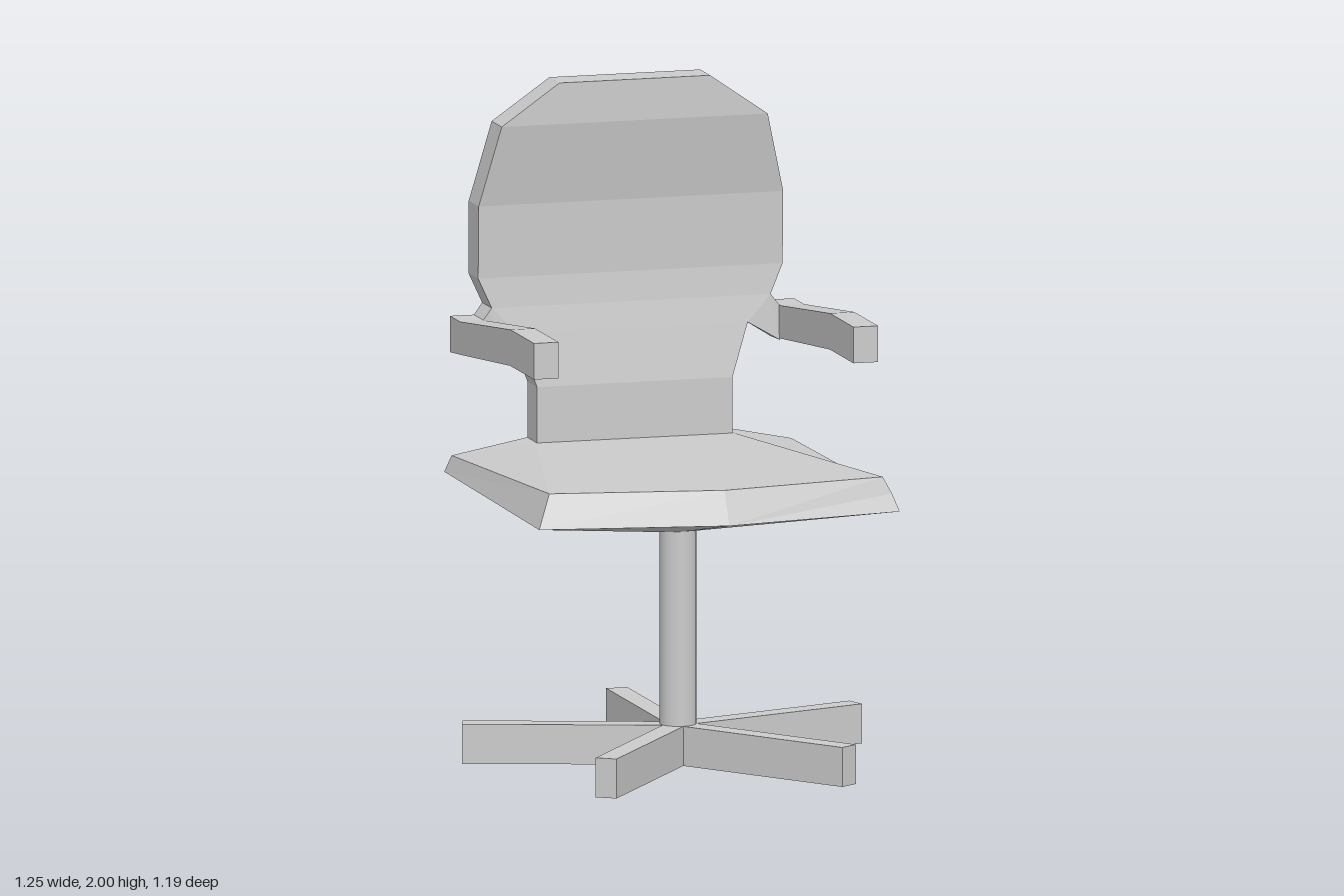
import * as THREE from 'three';

const flat = new THREE.MeshStandardMaterial({ color: 0xcccccc, flatShading: true });
const smooth = new THREE.MeshStandardMaterial({ color: 0xcccccc });

// Faceted solid from corner points and outward counter-clockwise polygons
function solid(name, points, polygons) {
  const pos = [];
  for (const p of polygons)
    for (let i = 1; i < p.length - 1; i++)
      pos.push(...points[p[0]], ...points[p[i]], ...points[p[i + 1]]);
  const geo = new THREE.BufferGeometry();
  geo.setAttribute('position', new THREE.Float32BufferAttribute(pos, 3));
  geo.computeVertexNormals();
  const mesh = new THREE.Mesh(geo, flat);
  mesh.name = name;
  return mesh;
}

// Closed bar through four-cornered cross-sections
function loft(name, rings) {
  const last = 4 * (rings.length - 1);
  const polygons = [[3, 2, 1, 0], [last, last + 1, last + 2, last + 3]];
  for (let i = 0; i < last; i += 4)
    for (let j = 0; j < 4; j++) {
      const k = (j + 1) % 4;
      polygons.push([i + j, i + k, i + 4 + k, i + 4 + j]);
    }
  return solid(name, rings.flat(), polygons);
}

function createSeat() {
  const points = [
    // lower rim
    [-0.565, 0.81, 0.5], [0, 0.81, 0.595], [0.56, 0.81, 0.5], [0.55, 0.81, -0.55], [-0.55, 0.81, -0.55],
    // front edge of the top
    [-0.52, 0.91, 0.455], [0, 0.91, 0.545], [0.52, 0.91, 0.455],
    // lowered corners
    [0.545, 0.86, 0.47], [0.53, 0.86, -0.54], [-0.53, 0.86, -0.54],
    // foot of the backrest
    [0.31, 0.91, -0.4], [0.31, 0.91, -0.5], [-0.31, 0.91, -0.5], [-0.31, 0.91, -0.4],
    // underside tip
    [0, 0.70, 0.055],
  ];
  return solid('seat', points, [
    [0, 1, 6, 5], [1, 2, 8, 7, 6], [2, 3, 9, 8], [3, 4, 10, 13, 12, 9], [4, 0, 5, 10],
    [14, 5, 6, 7, 11], [7, 8, 11], [8, 9, 11], [9, 12, 11], [11, 12, 13, 14], [14, 13, 10], [14, 10, 5],
    [1, 0, 15], [2, 1, 15], [3, 2, 15], [4, 3, 15], [0, 4, 15],
  ]);
}

function createBackrest() {
  // height, half width, front z, back z
  const rows = [
    [0.9, 0.305, -0.4, -0.5], [1.08, 0.305, -0.4, -0.5], [1.24, 0.36, -0.425, -0.525],
    [1.32, 0.435, -0.438, -0.54], [1.41, 0.475, -0.446, -0.548], [1.63, 0.475, -0.44, -0.545],
    [1.875, 0.415, -0.4, -0.507], [2, 0.235, -0.4, -0.505],
  ];
  return loft('backrest', rows.map(([y, w, f, b]) => [[-w, y, f], [w, y, f], [w, y, b], [-w, y, b]]));
}

function createArm(name) {
  const arm = new THREE.Group();
  arm.name = name;
  // z, bottom, top
  const rows = [[-0.535, 1.175, 1.285], [-0.43, 1.185, 1.285], [0.1, 1.24, 1.35], [0.35, 1.24, 1.35]];
  arm.add(loft('armrest', rows.map(([z, b, t]) => [[0.46, b, z], [0.537, b, z], [0.537, t, z], [0.46, t, z]])));
  arm.add(loft('armJoint', [
    [[0.36, 1.24, -0.425], [0.36, 1.24, -0.525], [0.435, 1.32, -0.54], [0.435, 1.32, -0.438]],
    [[0.462, 1.18, -0.43], [0.462, 1.175, -0.53], [0.462, 1.285, -0.535], [0.462, 1.285, -0.435]],
  ]));
  return arm;
}

export function createModel() {
  const chair = new THREE.Group();
  chair.name = 'officeChair';
  chair.add(createSeat(), createBackrest());

  // Arms, mirrored
  const rightArm = createArm('rightArm');
  rightArm.scale.x = -1;
  chair.add(createArm('leftArm'), rightArm);

  // Star base with centre post
  const base = new THREE.Group();
  base.name = 'base';
  base.position.z = 0.055;
  const post = new THREE.Mesh(new THREE.CylinderGeometry(0.055, 0.055, 0.64, 24), smooth);
  post.name = 'post';
  post.position.y = 0.4;
  base.add(post);
  const legGeo = new THREE.BoxGeometry(0.066, 0.12, 0.645).translate(0, 0.06, -0.3225);
  for (let i = 0; i < 5; i++) {
    const leg = new THREE.Mesh(legGeo, flat);
    leg.name = 'baseLeg';
    leg.rotation.y = (i * Math.PI * 2) / 5;
    base.add(leg);
  }
  chair.add(base);
  return chair;
}
